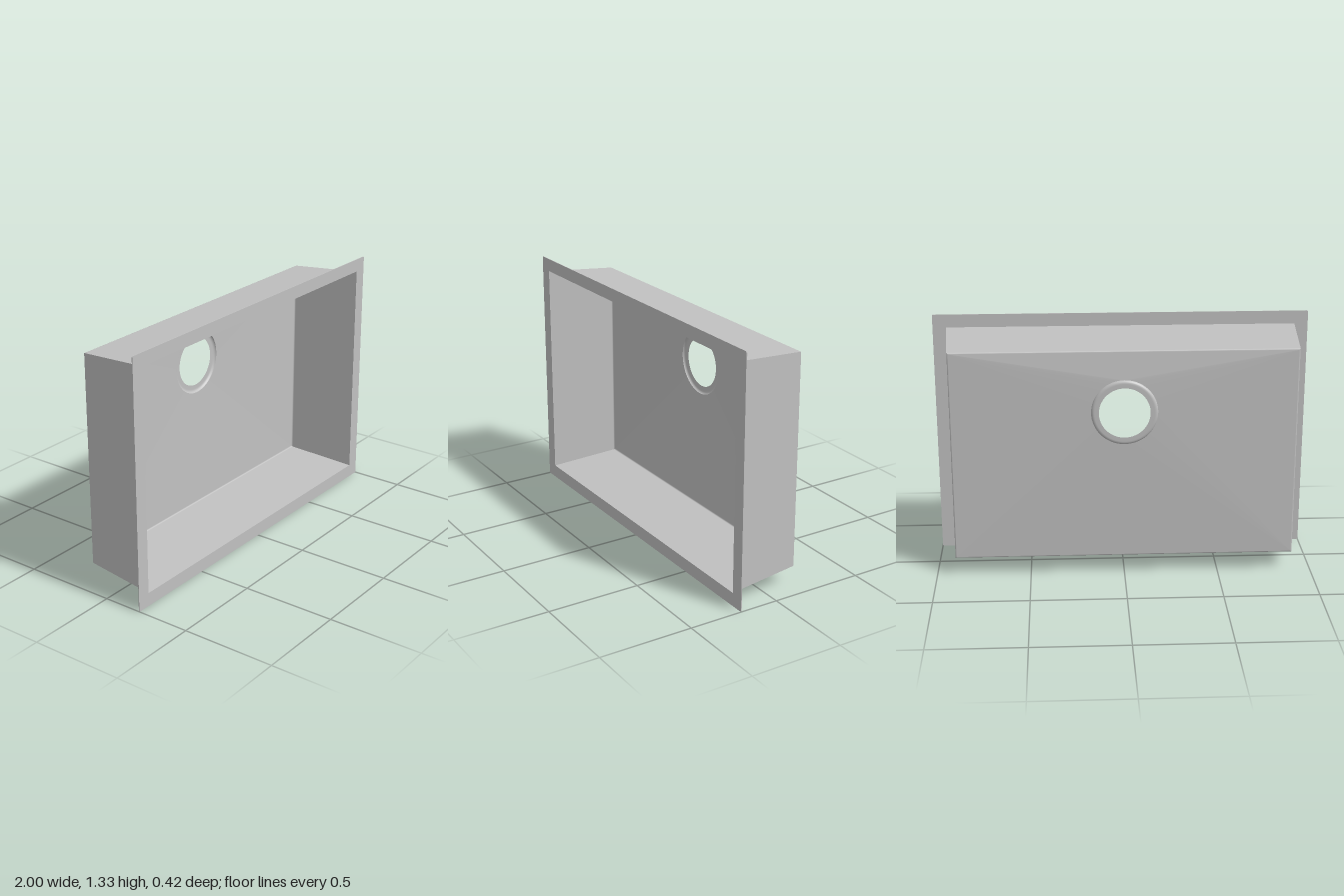
import * as THREE from 'three';

const CY = 0.912; // drain centre height
const FLOOR_Z = -0.18, DRAIN_Z = -0.2, RIM_Z = 0.212;

// Joins cross-sections (arrays of [x, y, z]) into one surface
function loft(sections) {
  const n = sections[0].length;
  const index = [];
  for (let i = 0; i < sections.length - 1; i++) {
    for (let j = 0; j < n - 1; j++) {
      const a = i * n + j, b = a + 1, c = a + n, d = c + 1;
      index.push(a, c, b, b, c, d);
    }
  }
  const g = new THREE.BufferGeometry();
  g.setAttribute('position', new THREE.Float32BufferAttribute(sections.flat(2), 3));
  g.setIndex(index);
  g.computeVertexNormals();
  return g;
}

// Corners of the basin rectangle, inset from the rim opening, counter-clockwise
function corners(inset, z) {
  const x = 0.928 - inset, y0 = 0.072 + inset, y1 = 1.263 - inset;
  return [[x, y1, z], [-x, y1, z], [-x, y0, z], [x, y0, z]];
}

export function createModel() {
  const model = new THREE.Group();
  const steel = new THREE.MeshStandardMaterial({ color: 0xc0c0c0, side: THREE.DoubleSide });
  steel.name = 'brushed steel';
  const add = (name, geometry) => {
    const mesh = new THREE.Mesh(geometry, steel);
    mesh.name = name;
    model.add(mesh);
    return mesh;
  };

  // Flat mounting flange with softened corners
  const w = 1, h = 1.333, r = 0.008;
  const outline = new THREE.Shape();
  outline.absarc(w - r, h - r, r, 0, Math.PI / 2);
  outline.absarc(-w + r, h - r, r, Math.PI / 2, Math.PI);
  outline.absarc(-w + r, r, r, Math.PI, Math.PI * 1.5);
  outline.absarc(w - r, r, r, Math.PI * 1.5, Math.PI * 2);
  outline.holes.push(new THREE.Path(corners(0, 0).map(([x, y]) => new THREE.Vector2(x, y))));
  const flange = add('flange', new THREE.ExtrudeGeometry(outline, { depth: 0.004, bevelEnabled: false, curveSegments: 4 }));
  flange.position.z = RIM_Z - 0.004;

  // Tapered walls, each ending in a small rounded bend into the floor
  const bend = 0.007;
  const wallSections = [corners(0, RIM_Z - 0.002)];
  for (let i = 0; i <= 4; i++) {
    const a = (i / 4) * Math.PI / 2;
    wallSections.push(corners(0.028 + bend * (1 - Math.cos(a)), FLOOR_Z + bend * (1 - Math.sin(a))));
  }
  ['topWall', 'leftWall', 'bottomWall', 'rightWall'].forEach((_, i) => {
    const name = ['topWall', 'rightWall', 'bottomWall', 'leftWall'][i];
    add(name, loft(wallSections.map((s) => [s[i], s[(i + 1) % 4]])));
  });

  // Floor: flat triangles per side and a fan at every corner, sloping to the drain
  const R = 0.173, steps = 16;
  const outer = [], inner = [];
  corners(0.028 + bend, FLOOR_Z).forEach((corner, q) => {
    for (let i = 0; i <= steps; i++) {
      const a = (q + i / steps) * Math.PI / 2;
      outer.push(corner);
      inner.push([R * Math.cos(a), CY + R * Math.sin(a), DRAIN_Z]);
    }
  });
  outer.push(outer[0]);
  inner.push(inner[0]);
  add('floor', loft([outer, inner]));

  // Recessed drain seat with a rounded shoulder around the open hole
  const profile = [[0.133, -0.212], [0.155, -0.212], [0.162, -0.211], [0.167, -0.2085], [0.171, -0.2045], [R, DRAIN_Z]]
    .map(([x, y]) => new THREE.Vector2(x, y));
  const drain = add('drainSeat', new THREE.LatheGeometry(profile, 64));
  drain.rotation.x = Math.PI / 2;
  drain.position.y = CY;

  return model;
}
